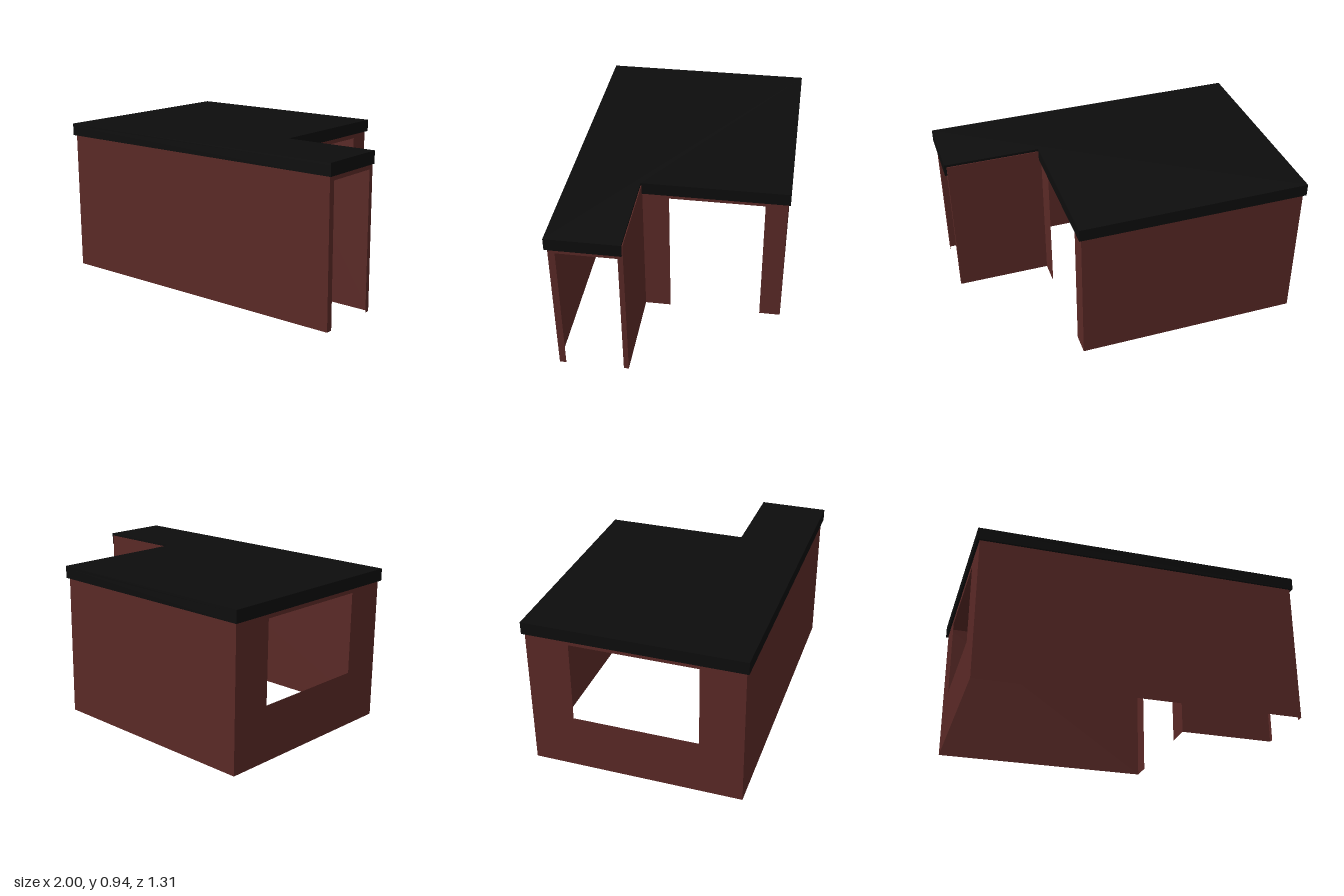
import * as THREE from 'three';

export function createModel() {
  const model = new THREE.Group();
  const brick = new THREE.MeshStandardMaterial({ color: 0x5a2926, side: THREE.DoubleSide });
  const black = new THREE.MeshStandardMaterial({ color: 0x0d0d0d });
  const wallTop = 0.93, roofTop = 0.945, fasciaBottom = 0.87;

  const add = (name, geometry, material) => {
    const mesh = new THREE.Mesh(geometry, material);
    mesh.name = name;
    model.add(mesh);
    return mesh;
  };
  // Floor plans are given as [x, z] corners
  const plan = (points) => new THREE.Shape(points.map(([x, z]) => new THREE.Vector2(x, -z)));
  const slab = (points, y0, y1) =>
    new THREE.ExtrudeGeometry(plan(points), { depth: y1 - y0, bevelEnabled: false })
      .rotateX(-Math.PI / 2).translate(0, y0, 0);

  // Thin sheet wall from a to b; opening = [start, end, bottom, top] along the wall
  function wall(name, a, b, opening) {
    const dx = b[0] - a[0], dz = b[1] - a[1], len = Math.hypot(dx, dz);
    const pts = [[0, 0]];
    let hole = null;
    if (opening) {
      const [s0, s1, y0, y1] = opening;
      const ring = [[s0, y0], [s0, y1], [s1, y1], [s1, y0]];
      if (y0 === 0) pts.push(...ring); // doorway cut up from the ground
      else hole = ring;
    }
    pts.push([len, 0], [len, wallTop], [0, wallTop]);
    const toVectors = (list) => list.map(([x, y]) => new THREE.Vector2(x, y));
    const shape = new THREE.Shape(toVectors(pts));
    if (hole) shape.holes.push(new THREE.Path(toVectors(hole)));
    const mesh = add(name, new THREE.ShapeGeometry(shape), brick);
    mesh.position.set(a[0], 0, a[1]);
    mesh.rotation.y = Math.atan2(-dz, dx);
  }

  // Walls around the L-shaped plan
  const c = [[-0.985, 0.64], [0.985, 0.64], [0.985, 0.22], [0.395, 0.22], [0.395, -0.64], [-0.985, -0.64]];
  wall('frontWall', c[0], c[1]);
  wall('wingEndWall', c[1], c[2], [0.04, 0.39, 0, 0.84]);
  wall('wingBackWall', c[2], c[3]);
  wall('doorWall', c[3], c[4], [0.16, 0.73, 0, 0.84]);
  wall('backWall', c[4], c[5]);
  wall('windowWall', c[5], c[0], [0.26, 1.02, 0.34, 0.84]);

  // Ceiling closing the top of the walls
  add('ceiling', new THREE.ShapeGeometry(plan(c)).rotateX(-Math.PI / 2).translate(0, wallTop - 0.001, 0), brick);

  // Roof slab, and the fascia band that overhangs all walls but the wing back
  const rim = [[1, 0.225], [1, 0.655], [-1, 0.655], [-1, -0.655], [0.41, -0.655], [0.41, 0.225]];
  add('roof', slab(rim, wallTop, roofTop), black);
  const inner = [[0.395, 0.225], [0.395, -0.64], [-0.985, -0.64], [-0.985, 0.64], [0.985, 0.64], [0.985, 0.225]];
  // Kept just outside the wall sheets
  const band = inner.map(([x, z], i) => [x + (i < 2 || i > 3 ? 0.001 : -0.001), z + (i === 1 || i === 2 ? -0.001 : i === 3 || i === 4 ? 0.001 : 0)]);
  add('fascia', slab([...rim, ...band], fasciaBottom, wallTop), black);

  return model;
}
